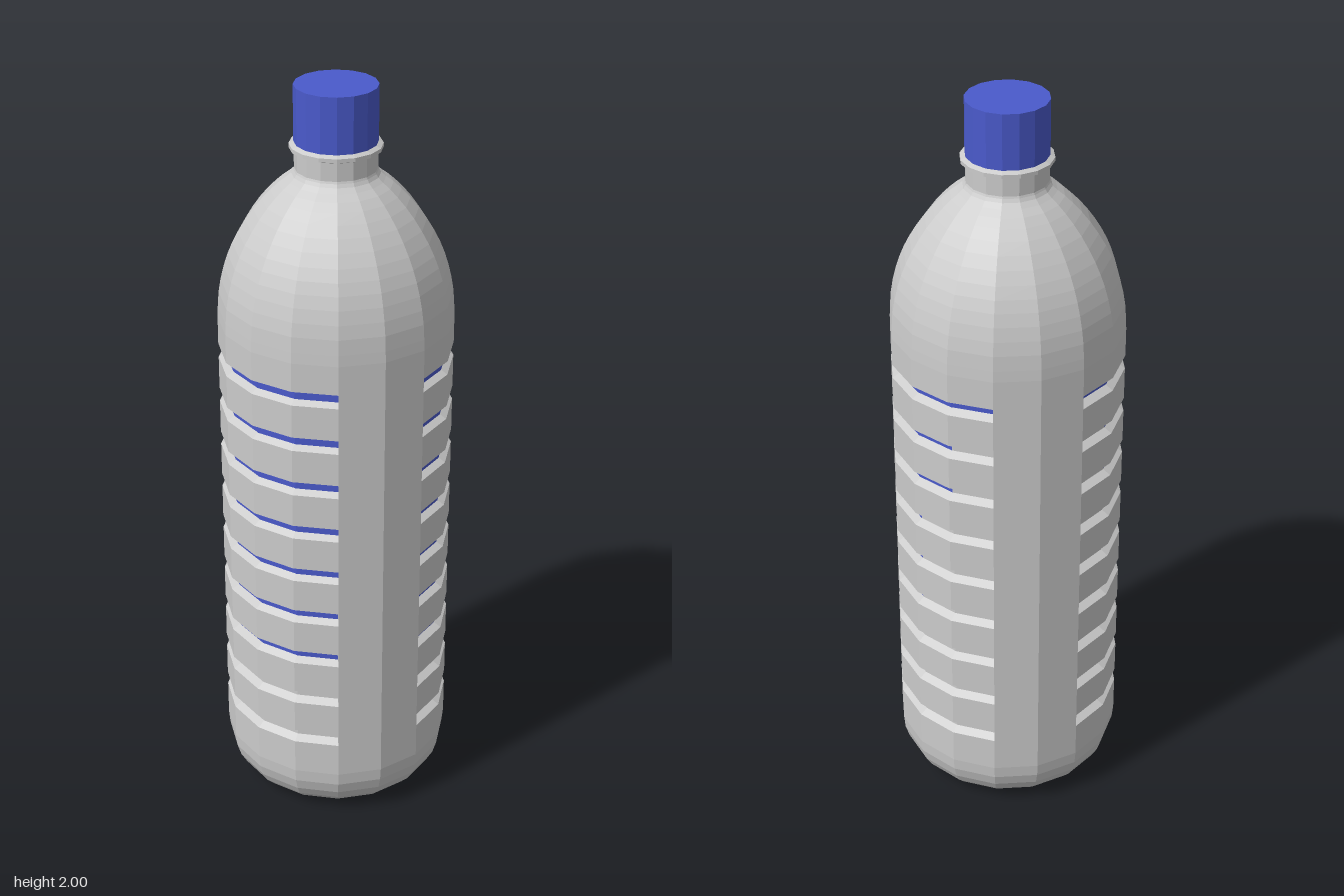
import * as THREE from 'three';

const SIDES = 16;
const BODY_R = 0.305;
const FLOOR_R = 0.285;
const grey = new THREE.MeshStandardMaterial({ color: 0xcccccc, flatShading: true, side: THREE.DoubleSide });
const blue = new THREE.MeshStandardMaterial({ color: 0x4a5acb, flatShading: true, side: THREE.DoubleSide });

// Bottle outline from base to neck: [radius, height, groove depth]
function bodyProfile() {
  const rows = [[0, 0, 0], [0.2, 0.003, 0]];
  // rounded lower edge
  for (let i = 1; i <= 6; i++) {
    const a = (i / 6) * Math.PI / 2;
    rows.push([0.2 + (BODY_R - 0.2) * Math.sin(a), 0.003 + 0.14 * (1 - Math.cos(a)), 0]);
  }
  // nine evenly spaced grooves
  const depth = BODY_R - FLOOR_R;
  for (let i = 0; i < 9; i++) {
    const y = 0.26 + i * 0.128;
    rows.push([BODY_R, y - 0.02, 0], [BODY_R, y - 0.007, depth], [BODY_R, y + 0.011, depth], [BODY_R, y + 0.018, 0]);
  }
  // domed shoulder
  const shoulder = new THREE.SplineCurve([
    [BODY_R, 1.38], [0.299, 1.46], [0.28, 1.54], [0.25, 1.61],
    [0.205, 1.68], [0.155, 1.735], [0.115, 1.768], [0.105, 1.785],
  ].map(p => new THREE.Vector2(...p)));
  shoulder.getPoints(16).forEach(p => rows.push([p.x, p.y, 0]));
  rows.push([0.105, 1.87, 0]);
  return rows;
}

// Faceted skin whose grooves stop short of the plain front and back strips
function bodyGeometry() {
  const rows = bodyProfile();
  const columns = [];
  for (let k = 0; k <= SIDES; k++) {
    const m = k % 8;
    const angle = (k / SIDES) * Math.PI * 2;
    if (m === 3) columns.push([angle, 1], [angle, 0]);
    else if (m === 5) columns.push([angle, 0], [angle, 1]);
    else columns.push([angle, m === 4 ? 0 : 1]);
  }
  const positions = [];
  const indices = [];
  for (const [r, y, depth] of rows) {
    for (const [angle, grooved] of columns) {
      const radius = r - depth * grooved;
      positions.push(radius * Math.cos(angle), y, -radius * Math.sin(angle));
    }
  }
  const n = columns.length;
  for (let i = 0; i < rows.length - 1; i++) {
    for (let j = 0; j < n - 1; j++) {
      // doubled columns only form walls at the groove ends
      const isEnd = columns[j][0] === columns[j + 1][0];
      if (isEnd && rows[i][2] + rows[i + 1][2] === 0) continue;
      const a = i * n + j;
      indices.push(a, a + 1, a + n + 1, a, a + n + 1, a + n);
    }
  }
  const geometry = new THREE.BufferGeometry();
  geometry.setAttribute('position', new THREE.Float32BufferAttribute(positions, 3));
  geometry.setIndex(indices);
  geometry.computeVertexNormals();
  return geometry;
}

function lathe(points) {
  return new THREE.LatheGeometry(points.map(p => new THREE.Vector2(...p)), SIDES);
}

export function createModel() {
  const model = new THREE.Group();
  const add = (name, geometry, material) => {
    const mesh = new THREE.Mesh(geometry, material);
    mesh.name = name;
    model.add(mesh);
    return mesh;
  };

  add('bottleBody', bodyGeometry(), grey);

  // Inner label, showing through the upper grooves
  const label = add('innerLabel', lathe([[0.2822, 0.4], [0.2852, 0.53], [0.2868, 1.31]]), blue);
  label.position.z = 0.002;

  // Ring below the cap
  add('neckRing', lathe([[0.104, 1.832], [0.118, 1.838], [0.118, 1.848], [0.104, 1.855]]), grey);

  // Screw cap
  const cap = add('cap', new THREE.CylinderGeometry(0.106, 0.106, 0.147, SIDES), blue);
  cap.position.y = 2 - 0.147 / 2;

  return model;
}
